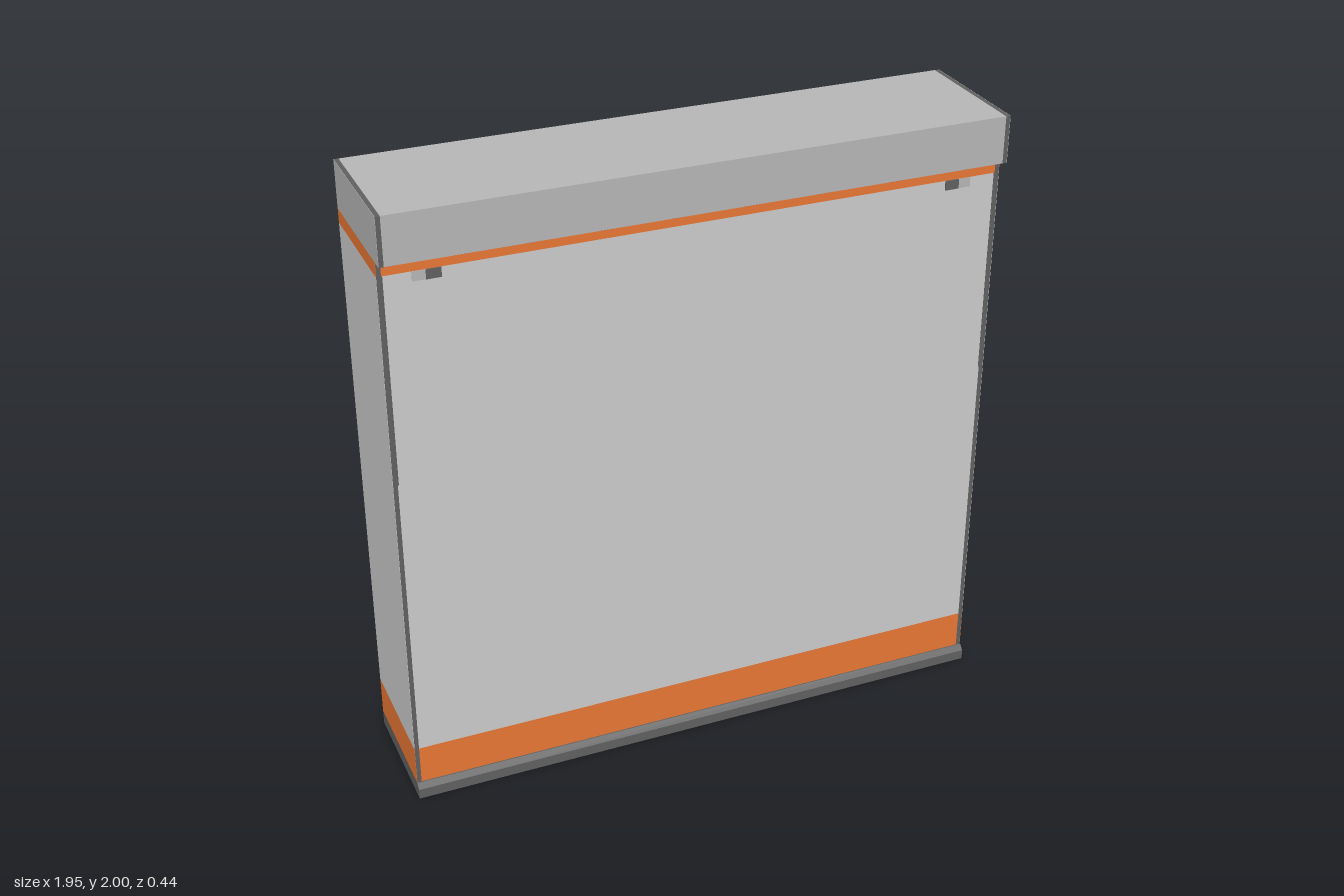
import * as THREE from 'three';

const material = (color) => new THREE.MeshStandardMaterial({ color, flatShading: true });

export function createModel() {
  const root = new THREE.Group();
  root.name = 'cabinet';
  const grey = material(0xcccccc);
  const headerGrey = material(0xb6b6b6);
  const dark = material(0x606060);
  const orange = material(0xe87734);

  const HALF = 0.975, INNER = 0.96, BACK = -0.22, FRONT = 0.18, HEAD = 0.22;

  // Box given by its limits on each axis
  function box(name, mat, x0, x1, y0, y1, z0, z1) {
    const mesh = new THREE.Mesh(new THREE.BoxGeometry(x1 - x0, y1 - y0, z1 - z0), mat);
    mesh.position.set((x0 + x1) / 2, (y0 + y1) / 2, (z0 + z1) / 2);
    mesh.name = name;
    root.add(mesh);
    return mesh;
  }

  // Box repeated on both sides of x = 0
  function pair(name, mat, x0, x1, y0, y1, z0, z1) {
    box(name + 'Left', mat, x0, x1, y0, y1, z0, z1);
    box(name + 'Right', mat, -x1, -x0, y0, y1, z0, z1);
  }

  // Plinth with a chamfered front edge, extruded along x
  const profile = new THREE.Shape([
    [BACK, 0], [0.2, 0], [0.2, 0.034], [0.184, 0.05], [BACK, 0.05],
  ].map(([z, y]) => new THREE.Vector2(-z, y)));
  const plinthGeo = new THREE.ExtrudeGeometry(profile, { depth: 2 * HALF, bevelEnabled: false });
  plinthGeo.rotateY(Math.PI / 2).translate(-HALF, 0, 0);
  const plinth = new THREE.Mesh(plinthGeo, dark);
  plinth.name = 'plinth';
  root.add(plinth);

  // Stacked bands: core, dark side panel edges and coloured side skins
  const bands = [
    ['lowerBand', orange, 0.05, 0.18, FRONT],
    ['body', grey, 0.18, 1.805, FRONT],
    ['upperBand', orange, 1.805, 1.85, FRONT],
    ['header', headerGrey, 1.85, 2, HEAD],
  ];
  for (const [name, mat, y0, y1, z1] of bands) {
    box(name, mat, -INNER, INNER, y0, y1, BACK, z1);
    pair(name + 'SidePanel', dark, INNER, HALF - 0.001, y0, y1, BACK, z1);
    pair(name + 'SideSkin', mat, HALF - 0.001, HALF, y0, y1, BACK, z1);
  }

  // Dark underside of the header overhang
  box('headerUnderside', dark, -INNER, INNER, 1.849, 1.85, FRONT, HEAD - 0.002);

  // Small latches below the upper band
  pair('latch', dark, 0.79, 0.835, 1.775, 1.805, FRONT - 0.01, FRONT + 0.004);
  pair('latchPlate', headerGrey, 0.835, 0.875, 1.775, 1.805, FRONT - 0.01, FRONT + 0.002);

  // Narrow seams beside the side panels
  pair('seam', dark, 0.957, INNER, 1.14, 1.805, FRONT - 0.01, FRONT + 0.001);

  return root;
}
